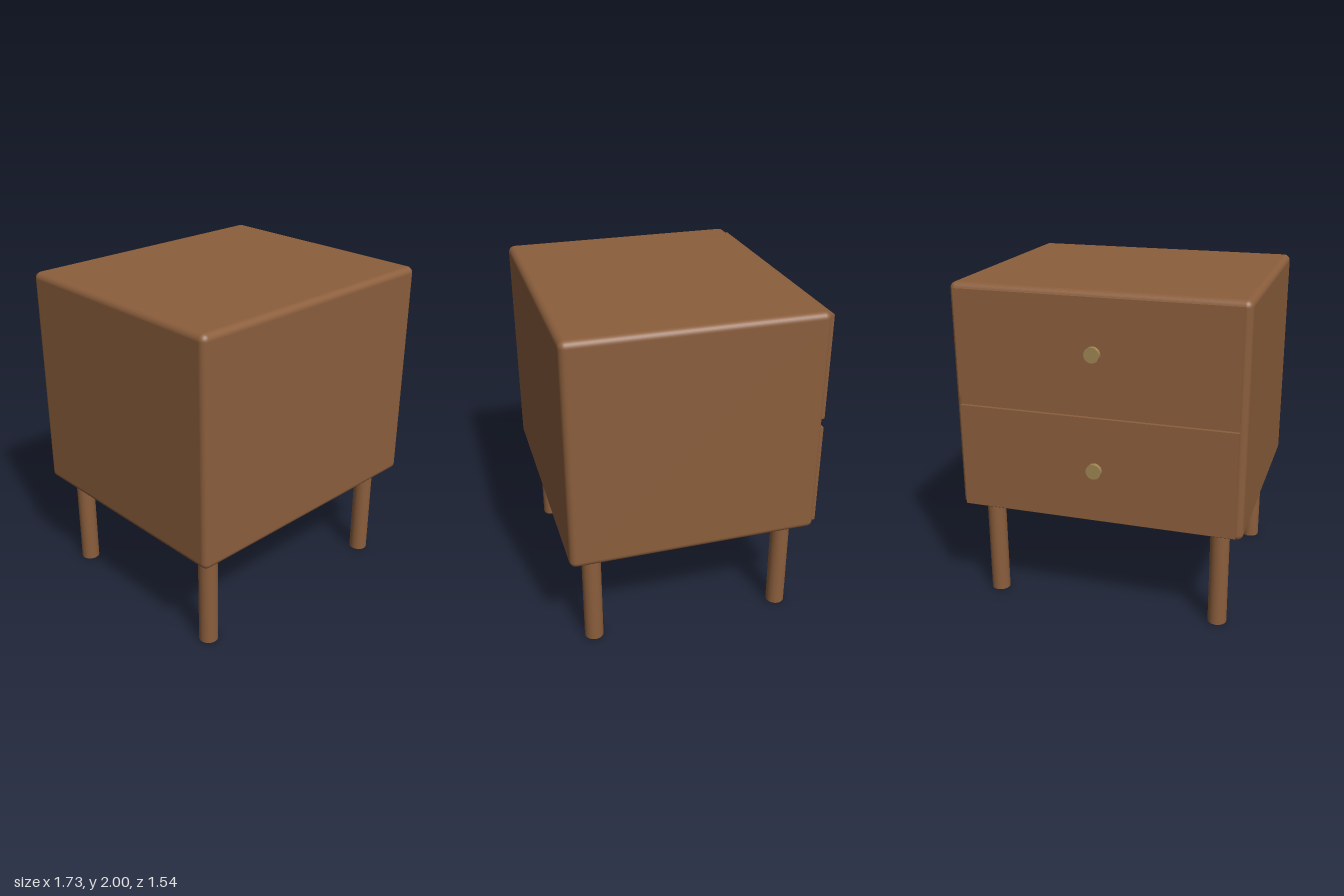
import * as THREE from 'three';
import { RoundedBoxGeometry } from 'three/addons/geometries/RoundedBoxGeometry.js';

export function createModel() {
  const group = new THREE.Group();
  const wood = new THREE.MeshStandardMaterial({ color: 0x8b5e3c });
  const brass = new THREE.MeshStandardMaterial({ color: 0xa08652 });

  const add = (name, geometry, material, x, y, z) => {
    const mesh = new THREE.Mesh(geometry, material);
    mesh.name = name;
    mesh.position.set(x, y, z);
    group.add(mesh);
    return mesh;
  };

  // Cabinet body with softly rounded edges
  const midZ = 0.024;
  add('cabinetBody', new RoundedBoxGeometry(1.726, 1.38, 1.492, 4, 0.04), wood, 0, 1.31, midZ);

  // Four round legs
  const legGeometry = new THREE.CylinderGeometry(0.057, 0.057, 0.63, 32);
  for (const sx of [-1, 1]) {
    for (const sz of [-1, 1]) {
      add('leg', legGeometry, wood, sx * 0.71, 0.315, midZ + sz * 0.597);
    }
  }

  // Two drawer fronts, each with a round knob
  const drawerGeometry = new THREE.BoxGeometry(1.65, 0.632, 0.025);
  const knobGeometry = new THREE.CylinderGeometry(0.045, 0.045, 0.028, 32);
  for (const y of [0.966, 1.656]) {
    add('drawerFront', drawerGeometry, wood, 0, y, -0.7325);
    add('drawerKnob', knobGeometry, brass, 0, y, -0.757).rotation.x = Math.PI / 2;
  }

  return group;
}
